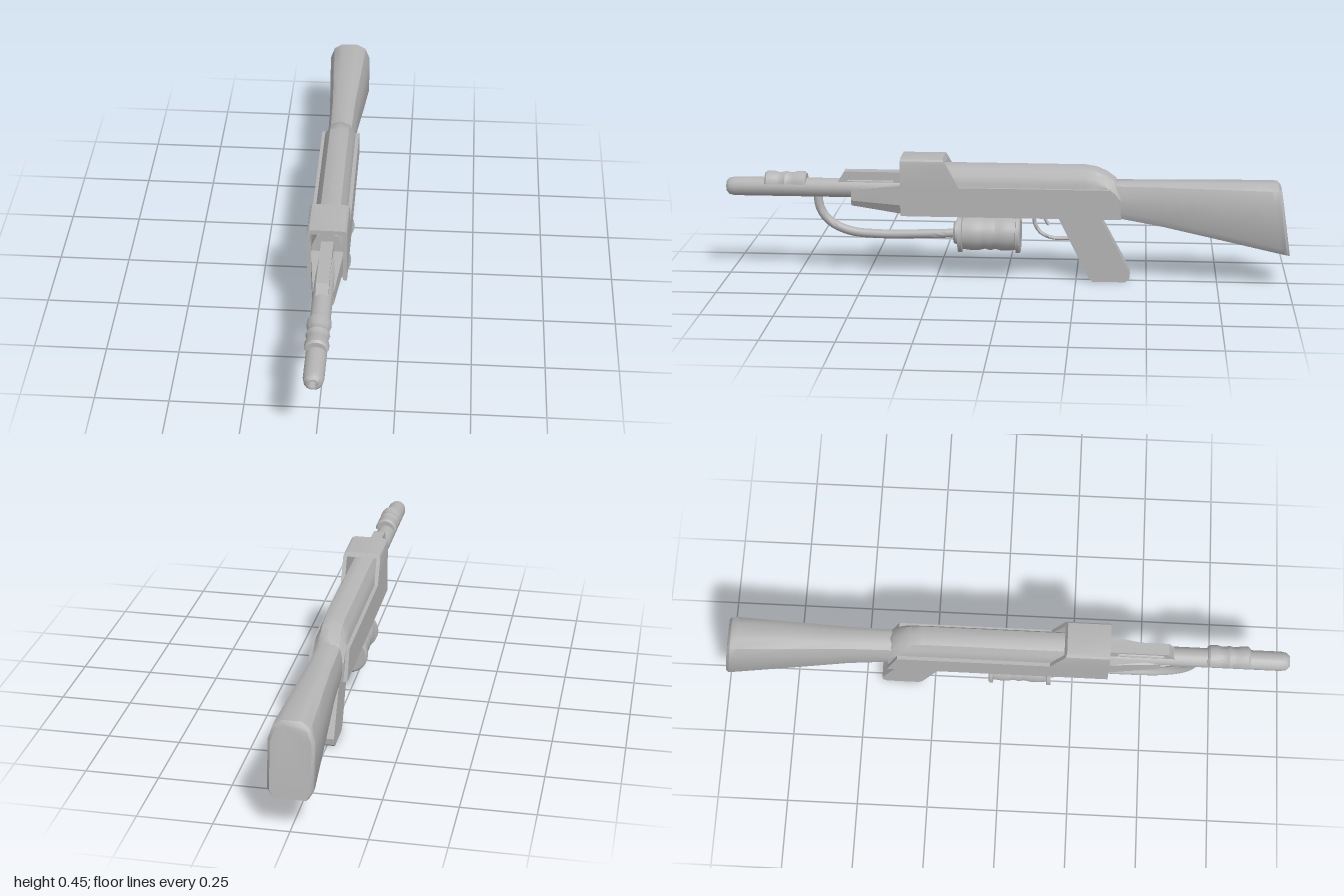
import * as THREE from 'three';
import { toCreasedNormals } from 'three/addons/utils/BufferGeometryUtils.js';

const grey = new THREE.MeshStandardMaterial({ color: 0xb4b4b4, side: THREE.DoubleSide });
grey.name = 'gunGrey';

export function createModel() {
  const model = new THREE.Group();
  model.name = 'rifle';

  const add = (name, geo, x = 0, y = 0, z = 0, crease = 0.6) => {
    const mesh = new THREE.Mesh(toCreasedNormals(geo, crease), grey);
    mesh.name = name;
    mesh.position.set(x, y, z);
    model.add(mesh);
    return mesh;
  };

  // Outline given as [z, y], extruded across x and centred
  const sideGeo = (pts, width, hole) => {
    const shape = new THREE.Shape(pts.map(p => new THREE.Vector2(...p)));
    if (hole) shape.holes.push(new THREE.Path(hole.map(p => new THREE.Vector2(...p))));
    const geo = new THREE.ExtrudeGeometry(shape, { depth: width, bevelEnabled: false });
    return geo.rotateY(-Math.PI / 2).translate(width / 2, 0, 0);
  };

  // Profile given as [radius, z], turned around the z axis
  const turned = (pts, sides, start = 0, sweep = Math.PI * 2) =>
    new THREE.LatheGeometry(pts.map(p => new THREE.Vector2(...p)), sides, start, sweep).rotateX(Math.PI / 2);

  // Skin through mirrored half sections, front to rear; slant leans a section
  const loft = sections => {
    const loops = sections.map(({ z, half, slant = 0 }) => {
      const mirrored = half.filter(p => p[0] > 0).reverse().map(([x, y]) => [-x, y]);
      return [...half, ...mirrored].map(([x, y]) => [x, y, z + slant * (y - 0.24)]);
    });
    const n = loops[0].length, pos = [];
    const tri = (...c) => c.forEach(p => pos.push(...p));
    for (let i = 0; i < loops.length - 1; i++) {
      for (let j = 0; j < n; j++) {
        const k = (j + 1) % n, f = loops[i], r = loops[i + 1];
        tri(f[j], f[k], r[j]);
        tri(f[k], r[k], r[j]);
      }
    }
    const first = loops[0], last = loops[loops.length - 1];
    for (let j = 1; j < n - 1; j++) {
      tri(first[0], first[j + 1], first[j]);
      tri(last[0], last[j], last[j + 1]);
    }
    const geo = new THREE.BufferGeometry();
    geo.setAttribute('position', new THREE.Float32BufferAttribute(pos, 3));
    return geo;
  };

  // Barrel with an open bore
  add('barrel', turned([[0.034, 0.34], [0.034, 0.97], [0.03, 0.99], [0.02, 1], [0.014, 1], [0.014, 0.93], [0, 0.93]], 16), 0, 0.323, 0);

  // Wavy half sleeve over the muzzle end
  const sleeve = [[0, 0.712], [0.034, 0.712], [0.04, 0.72], [0.04, 0.745], [0.036, 0.76], [0.036, 0.775],
    [0.04, 0.787], [0.036, 0.80], [0.036, 0.815], [0.04, 0.83], [0.04, 0.853], [0.034, 0.86], [0, 0.86]];
  add('barrelSleeve', turned(sleeve, 10, Math.PI / 2, Math.PI), 0, 0.34, 0);

  // Slotted rail above the barrel
  add('topRail', sideGeo([[0.35, 0.345], [0.6, 0.345], [0.575, 0.387], [0.35, 0.387]], 0.042,
    [[0.4, 0.352], [0.4, 0.377], [0.555, 0.377], [0.565, 0.352]]), 0, 0, 0, 0.3);
  add('railCore', new THREE.BoxGeometry(0.024, 0.034, 0.2), 0, 0.36, 0.46);

  // Tapered handguard
  add('handguard', loft([
    { z: 0.55, half: [[0.022, 0.328], [0.034, 0.324], [0.036, 0.285], [0.026, 0.265]] },
    { z: 0.37, half: [[0.03, 0.346], [0.054, 0.346], [0.054, 0.275], [0.036, 0.24]] },
    { z: 0.33, half: [[0.03, 0.346], [0.054, 0.346], [0.054, 0.275], [0.036, 0.24]] },
  ]), 0, 0, 0, 0.3);

  // Inner receiver body, rounding down at the rear
  const bodyHalf = top => [[0, top], [0.034, top - 0.013], [0.047, top - 0.04], [0.055, Math.min(0.36, top - 0.05)], [0.055, 0.236]];
  add('receiverBody', loft([[0.35, 0.423], [-0.28, 0.423], [-0.32, 0.417], [-0.355, 0.402], [-0.385, 0.38], [-0.405, 0.355]]
    .map(([z, top]) => ({ z, half: bodyHalf(top) }))), 0, 0, 0, 0.75);

  // Side plates, left and right
  for (const side of [-1, 1]) {
    add(side > 0 ? 'leftPlate' : 'rightPlate',
      sideGeo([[-0.41, 0.24], [0.37, 0.24], [0.37, 0.345], [-0.37, 0.345]], 0.014), side * 0.061, 0, 0, 0.3);
  }

  // Hollow hood joining the side plates, with a sloping rear edge
  const arch = (path, w, top, r) => {
    path.moveTo(w, 0.345);
    path.lineTo(w, top - r);
    path.quadraticCurveTo(w, top, w - r, top);
    path.lineTo(-w + r, top);
    path.quadraticCurveTo(-w, top, -w, top - r);
    path.lineTo(-w, 0.345);
    return path;
  };
  const hoodShape = arch(new THREE.Shape(), 0.068, 0.446, 0.018);
  const inner = arch(new THREE.Path(), 0.054, 0.43, 0.004).getPoints(3).reverse();
  inner.forEach(p => hoodShape.lineTo(p.x, p.y));
  const hood = new THREE.ExtrudeGeometry(hoodShape, { depth: 1, bevelEnabled: false, curveSegments: 3 });
  const hp = hood.attributes.position;
  for (let i = 0; i < hp.count; i++) {
    const rear = 0.165 + (hp.getY(i) - 0.345) * 0.55;
    hp.setZ(i, rear + (0.37 - rear) * hp.getZ(i));
  }
  add('hood', hood, 0, 0, 0, 0.55);

  // Shoulder stock, flaring to a slanted butt
  const stockHalf = (top, w, shoulder, bottom, cap) =>
    [[cap, top], [w * 0.8, (top + shoulder) / 2 + 0.012], [w, shoulder], [w, bottom + 0.025], [w * 0.8, bottom]];
  add('stock', loft([
    { z: -0.36, half: stockHalf(0.365, 0.048, 0.318, 0.245, 0.022) },
    { z: -0.55, half: stockHalf(0.367, 0.052, 0.315, 0.212, 0.022) },
    { z: -0.75, half: stockHalf(0.369, 0.064, 0.31, 0.17, 0.025), slant: 0.05 },
    { z: -0.95, half: stockHalf(0.37, 0.075, 0.305, 0.125, 0.03), slant: 0.15 },
    { z: -0.972, half: stockHalf(0.368, 0.075, 0.305, 0.12, 0.03), slant: 0.15 },
    { z: -0.982, half: stockHalf(0.355, 0.066, 0.3, 0.117, 0.026), slant: 0.15 },
  ]), 0, 0, 0, 0.65);

  // Pistol grip
  add('grip', sideGeo([[-0.18, 0.245], [-0.33, 0.245], [-0.442, 0.035], [-0.44, 0.012], [-0.425, 0], [-0.31, 0], [-0.296, 0.012]], 0.056), 0, 0, 0, 0.3);

  // Trigger guard and trigger
  const tube = (pts, segments, radius, sides) =>
    new THREE.TubeGeometry(new THREE.CatmullRomCurve3(pts.map(([z, y]) => new THREE.Vector3(0, y, z))), segments, radius, sides);
  add('triggerGuard', tube([[-0.1, 0.245], [-0.102, 0.205], [-0.125, 0.17], [-0.165, 0.153], [-0.225, 0.152]], 14, 0.007, 8), 0, 0, 0, 1);
  add('trigger', tube([[-0.135, 0.245], [-0.138, 0.222], [-0.152, 0.2]], 6, 0.006, 6), 0, 0, 0, 1);

  // Canister with end flanges and a plug
  add('canister', turned([[0, -0.052], [0.064, -0.052], [0.07, -0.047], [0.07, -0.036], [0.058, -0.034], [0.061, -0.01],
    [0.061, 0.02], [0.056, 0.038], [0.061, 0.055], [0.056, 0.075], [0.061, 0.095], [0.061, 0.13], [0.058, 0.154],
    [0.07, 0.156], [0.07, 0.17], [0.042, 0.17], [0.042, 0.18], [0.036, 0.187], [0, 0.187]], 24), 0, 0.165, 0);

  // Hose from canister up to the barrel
  add('hose', tube([[0.17, 0.163], [0.3, 0.158], [0.45, 0.155], [0.56, 0.165], [0.63, 0.198], [0.665, 0.245], [0.675, 0.31]], 30, 0.016, 10), 0, 0, 0, 1);

  return model;
}
